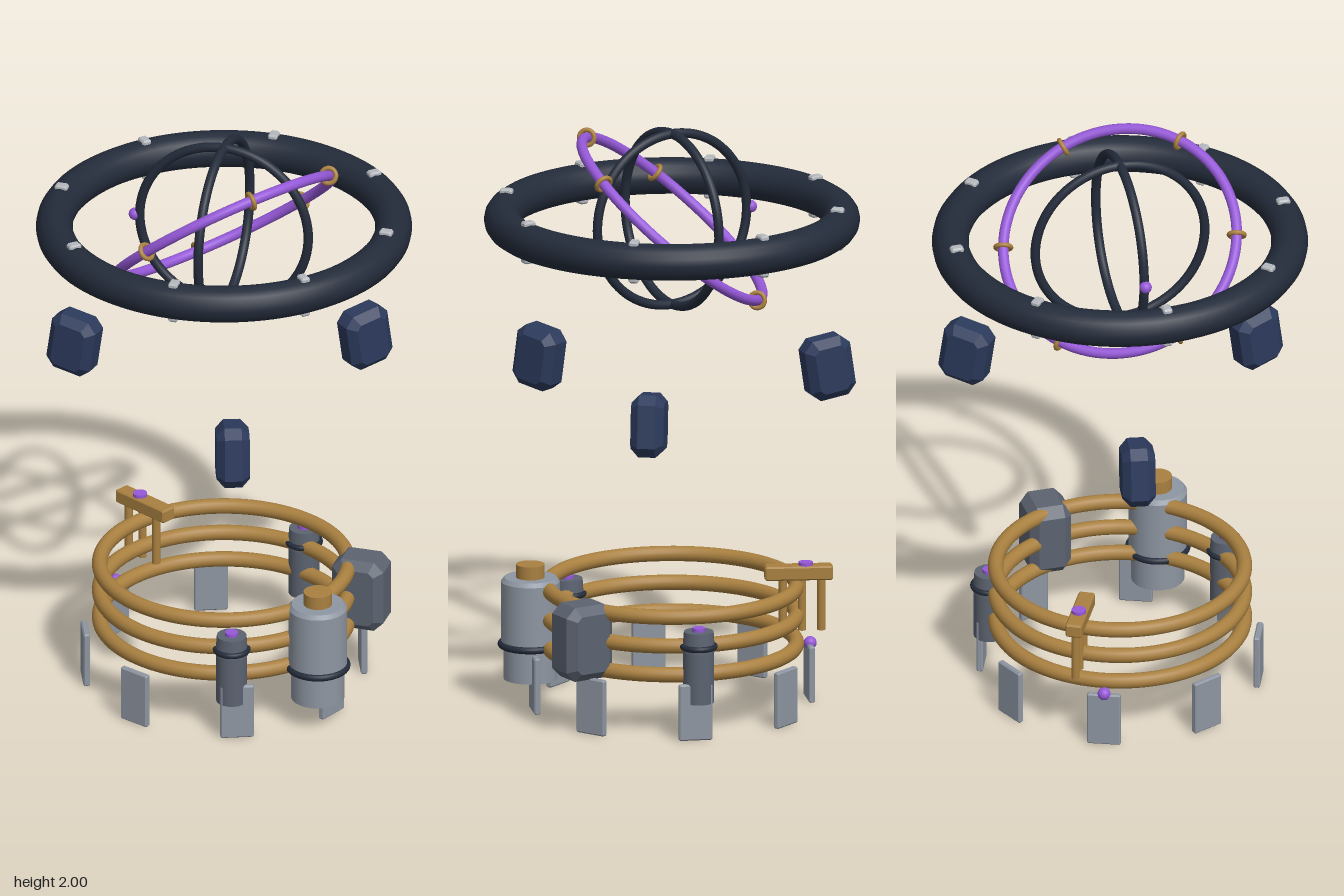
import * as THREE from 'three';

const mat = (color) => new THREE.MeshStandardMaterial({ color });
const DARK = mat(0x232b3a), GOLD = mat(0xa98040), PURPLE = mat(0x9558d8), NAVY = mat(0x2c3a5c);
const GREY = mat(0x8e96a2), SLATE = mat(0x5c6370), CLIP = mat(0xb4b8bc);

// Box with all edges chamfered by b
function chamferBox(w, h, d, b) {
  const x = w / 2 - b, y = h / 2 - b, c = b * 0.6;
  const pts = [[x, -y + c], [x, y - c], [x - c, y], [-x + c, y], [-x, y - c], [-x, -y + c], [-x + c, -y], [x - c, -y]];
  const geo = new THREE.ExtrudeGeometry(new THREE.Shape(pts.map((p) => new THREE.Vector2(...p))), {
    depth: d - 2 * b, bevelThickness: b, bevelSize: b, bevelSegments: 1,
  });
  return geo.translate(0, 0, b - d / 2);
}

export function createModel() {
  const model = new THREE.Group();

  function add(name, geometry, material, x = 0, y = 0, z = 0, parent = model) {
    const mesh = new THREE.Mesh(geometry, material);
    mesh.name = name;
    mesh.position.set(x, y, z);
    parent.add(mesh);
    return mesh;
  }
  const torus = (R, r, n = 96) => new THREE.TorusGeometry(R, r, 16, n);
  const flatTorus = (R, r, n) => torus(R, r, n).rotateX(Math.PI / 2);
  const cyl = (r, h, r2 = r) => new THREE.CylinderGeometry(r2, r, h, 32);
  const ball = (r) => new THREE.SphereGeometry(r, 20, 14);

  // Group at a polar angle, local +x pointing outward
  function polar(name, degrees, radius, y) {
    const a = THREE.MathUtils.degToRad(degrees), g = new THREE.Group();
    g.name = name;
    g.position.set(radius * Math.cos(a), y, radius * Math.sin(a));
    g.rotation.y = -a;
    model.add(g);
    return g;
  }

  // Floating upper ring with clips
  const top = 1.688;
  add('outerRing', flatTorus(0.57, 0.062), DARK, 0, top);
  for (let i = 0; i < 8; i++) {
    const clip = polar('ringClip', i * 45, 0.57, top);
    for (const s of [-1, 1]) add('clip', chamferBox(0.044, 0.025, 0.032, 0.005), CLIP, 0, s * 0.06, 0, clip);
  }

  // Crossed upright rings with a small bead
  add('uprightRing', torus(0.296, 0.016), DARK, 0, top);
  add('uprightRing', torus(0.296, 0.016), DARK, 0, top).rotation.y = Math.PI / 2;
  add('bead', ball(0.021), PURPLE, -0.313, top);

  // Tilted ring with six collars
  const normal = new THREE.Vector3(-0.542, 0.757, -0.362).normalize();
  const u = new THREE.Vector3(0.333, 0.187, -0.1).projectOnPlane(normal).normalize();
  const v = new THREE.Vector3().crossVectors(normal, u);
  const tilted = new THREE.Group();
  tilted.name = 'tiltedRing';
  tilted.position.y = top;
  tilted.quaternion.setFromRotationMatrix(new THREE.Matrix4().makeBasis(u, v, normal));
  model.add(tilted);
  add('ringBody', torus(0.4, 0.018), PURPLE, 0, 0, 0, tilted);
  for (let i = 0; i < 6; i++) {
    const a = i * Math.PI / 3;
    const collar = add('collar', torus(0.026, 0.008, 24).rotateX(Math.PI / 2), GOLD, 0.4 * Math.cos(a), 0.4 * Math.sin(a), 0, tilted);
    collar.rotation.z = a;
  }

  // Floating pods leaning inward
  for (const deg of [70, 190, 310]) {
    const pod = polar('pod', deg, 0.563, 1.12);
    add('podBody', chamferBox(0.165, 0.21, 0.112, 0.027), NAVY, 0, 0, 0, pod).rotation.z = 0.15;
  }

  // Base hoops
  for (const y of [0.215, 0.315, 0.415]) add('baseHoop', flatTorus(0.418, 0.026), GOLD, 0, y);

  // Foot plates
  for (let i = 0; i < 8; i++) {
    const foot = polar('foot', 22.5 + i * 45, 0.468, 0.097);
    add('footPlate', chamferBox(0.022, 0.194, 0.113, 0.004), GREY, 0, 0, 0, foot);
  }
  add('footBead', ball(0.022), PURPLE, -0.435, 0.195, -0.18);

  // Large tank
  const tank = new THREE.Group();
  tank.name = 'tank';
  tank.position.set(0.406, 0, 0.248);
  model.add(tank);
  add('tankBase', cyl(0.09, 0.12), GREY, 0, 0.155, 0, tank);
  add('tankBody', cyl(0.099, 0.217), GREY, 0, 0.3235, 0, tank);
  add('tankShoulder', cyl(0.099, 0.014, 0.088), GREY, 0, 0.439, 0, tank);
  add('tankCap', cyl(0.048, 0.05), GOLD, 0, 0.466, 0, tank);
  add('tankBand', flatTorus(0.098, 0.012, 48), DARK, 0, 0.215, 0, tank);

  // Small canisters, front and back
  for (const s of [1, -1]) {
    const can = new THREE.Group();
    can.name = 'canister';
    can.position.set(0.154, 0, s * 0.413);
    model.add(can);
    add('canisterBody', cyl(0.052, 0.18), SLATE, 0, 0.215, 0, can);
    add('canisterHead', cyl(0.055, 0.07, 0.05), SLATE, 0, 0.335, 0, can);
    add('canisterBand', flatTorus(0.054, 0.01, 40), DARK, 0, 0.318, 0, can);
    add('canisterBead', cyl(0.022, 0.02), PURPLE, 0, 0.372, 0, can);
  }

  // Side housing
  add('housing', chamferBox(0.18, 0.256, 0.146, 0.028), SLATE, 0.442, 0.318, -0.135);

  // Bracket across the top hoop
  const bracket = new THREE.Group();
  bracket.name = 'bracket';
  bracket.position.set(-0.362, 0, -0.245);
  bracket.rotation.y = -Math.PI * 0.155;
  model.add(bracket);
  add('bracketBar', chamferBox(0.23, 0.048, 0.056, 0.005), GOLD, 0.012, 0.466, 0, bracket);
  for (const x of [-0.065, 0, 0.065]) add('bracketPost', cyl(0.014, 0.185), GOLD, x, 0.357, 0, bracket);
  add('bracketButton', cyl(0.024, 0.02), PURPLE, -0.012, 0.491, 0, bracket);

  return model;
}
